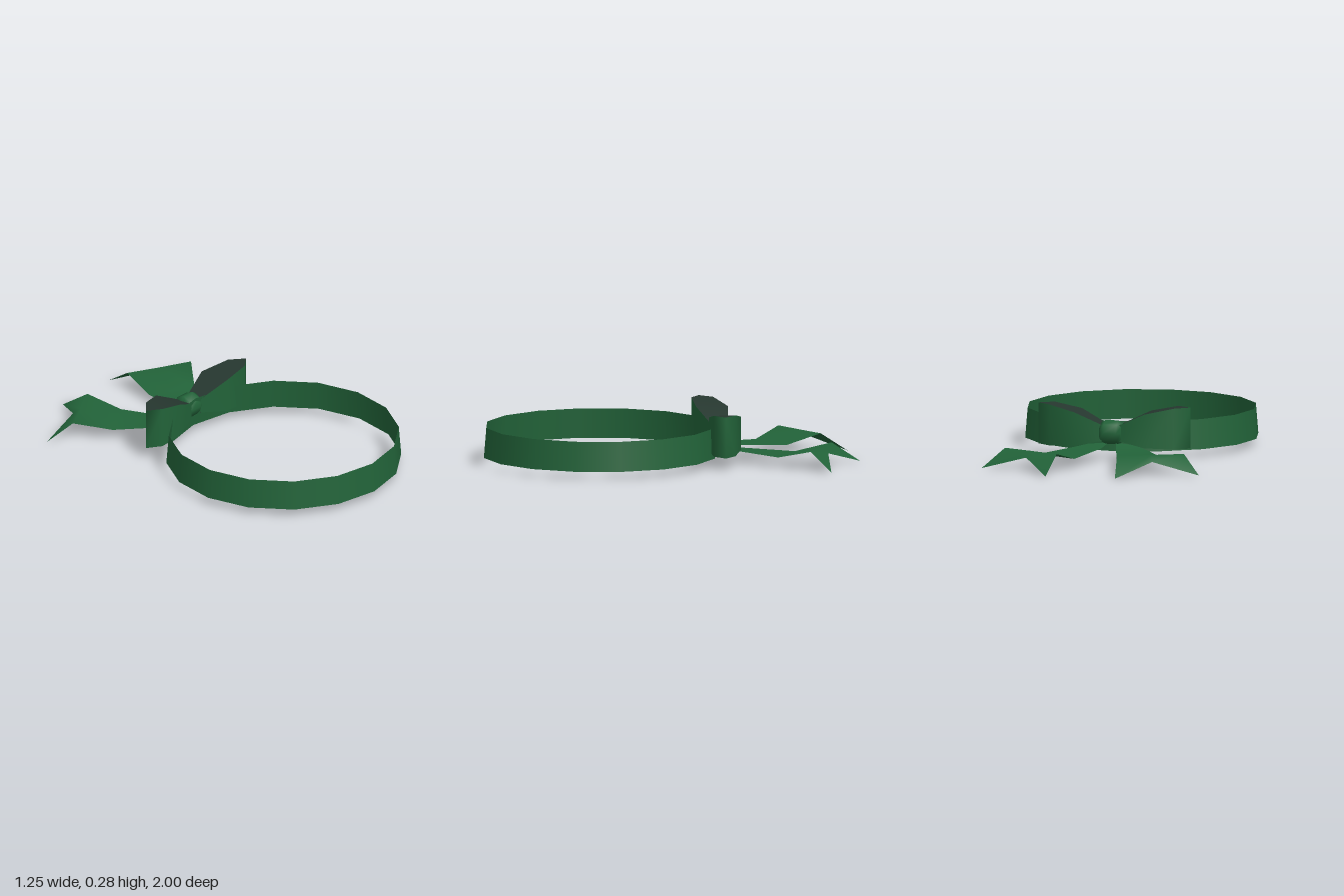
import * as THREE from 'three';

const green = new THREE.MeshStandardMaterial({ color: 0x226339, side: THREE.DoubleSide });
green.name = 'ribbon green';
const dark = new THREE.MeshStandardMaterial({ color: 0x26372f, side: THREE.DoubleSide });
dark.name = 'dark lining';

// Smooth surface through rows of points; side -1 mirrors it in x.
function surface(name, rows, side, material) {
  const cols = rows[0].length, index = [];
  for (let r = 0; r < rows.length - 1; r++) {
    for (let c = 0; c < cols - 1; c++) {
      const a = r * cols + c, b = a + 1, d = a + cols, e = d + 1;
      if (side > 0) index.push(a, d, b, b, d, e);
      else index.push(a, b, d, b, e, d);
    }
  }
  const geometry = new THREE.BufferGeometry();
  const positions = rows.flat().flatMap(([x, y, z]) => [x * side, y, z]);
  geometry.setAttribute('position', new THREE.Float32BufferAttribute(positions, 3));
  geometry.setIndex(index);
  geometry.computeVertexNormals();
  const mesh = new THREE.Mesh(geometry, material);
  mesh.name = name;
  return mesh;
}

// Bow loop stations: x, bottom y, top y, front z, back z
const LOOP = [
  [0.04, 0.105, 0.185, -0.235, -0.325],
  [0.19, 0.075, 0.255, -0.183, -0.355],
  [0.34, 0.065, 0.285, -0.183, -0.3],
  [0.415, 0.065, 0.285, -0.235, -0.235],
];

function bowLoop(name, side) {
  const group = new THREE.Group();
  group.name = name;
  const front = LOOP.map(([x, b, t, z]) => [[x, b, z], [x, t, z]]);
  const back = LOOP.slice(0, 3).reverse().map(([x, b, t, , z]) => [[x, b, z], [x, t, z]]);
  const top = LOOP.map(([x, , t, f, k]) => [[x, t, f], [x, t, k]]);
  const bottom = LOOP.map(([x, b, , f, k]) => [[x, b, k], [x, b, f]]);
  group.add(
    surface('loopWall', [...front, ...back], side, green),
    surface('loopTop', top, side, dark),
    surface('loopUnderside', bottom, side, dark),
  );
  return group;
}

// Tail rows run from the knot to the swallow-tail end: inner, middle, outer
const TAIL = [
  [[0.02, 0.09, -0.29], [0.075, 0.085, -0.29], [0.13, 0.08, -0.28]],
  [[0.04, 0.068, -0.36], [0.12, 0.068, -0.36], [0.2, 0.068, -0.355]],
  [[0.115, 0.05, -0.66], [0.225, 0.05, -0.595], [0.34, 0.052, -0.53]],
  [[0.165, 0.1, -0.85], [0.33, 0.1, -0.76], [0.49, 0.1, -0.68]],
  [[0.19, 0, -1], [0.345, 0.068, -0.8], [0.595, 0, -0.773]],
];

export function createModel() {
  const model = new THREE.Group();
  model.name = 'ribbonBand';

  // Slightly tapered band
  const band = new THREE.Mesh(new THREE.CylinderGeometry(0.614, 0.627, 0.16, 16, 1, true), green);
  band.name = 'band';
  band.position.set(0, 0.12, 0.372);
  model.add(band);

  // Rounded knot, turned to lie along x
  const profile = [[0, -0.06], [0.05, -0.06], [0.064, -0.036], [0.064, 0.036], [0.05, 0.06], [0, 0.06]];
  const knot = new THREE.Mesh(
    new THREE.LatheGeometry(profile.map(([r, y]) => new THREE.Vector2(r, y)), 8), green);
  knot.name = 'knot';
  knot.rotation.z = Math.PI / 2;
  knot.position.set(0, 0.147, -0.291);
  model.add(knot);

  // Loops and tails on both sides
  for (const [label, side] of [['left', 1], ['right', -1]]) {
    model.add(bowLoop(label + 'Loop', side));
    model.add(surface(label + 'Tail', TAIL, side, green));
  }
  return model;
}
